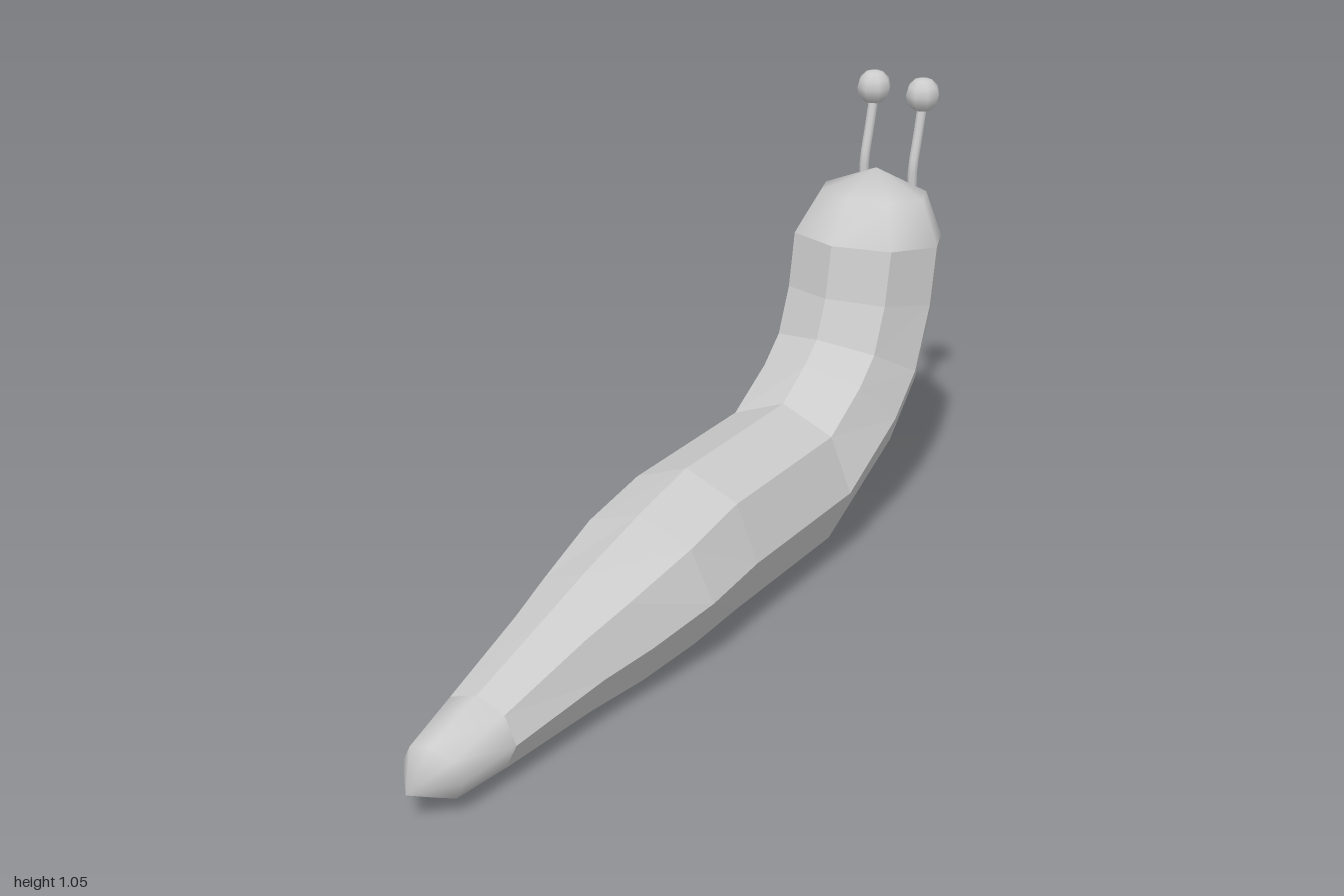
import * as THREE from 'three';
import { mergeVertices } from 'three/addons/utils/BufferGeometryUtils.js';

const SIDES = 8;

// Rings from tail to head: [top z, top y, bottom z, bottom y, half width]
const TAIL = [
  [1, 0.085, 1, 0.085, 0],
  [0.92, 0.152, 0.91, 0.03, 0.075],
  [0.77, 0.192, 0.77, 0.022, 0.095],
];
const BODY = [
  TAIL[2],
  [0.52, 0.262, 0.5, 0.014, 0.127],
  [0.4, 0.297, 0.33, 0.005, 0.152],
  [0.19, 0.348, 0.17, 0.015, 0.185],
  [0, 0.384, 0, 0.015, 0.185],
  [-0.42, 0.384, -0.42, 0.015, 0.185],
  [-0.52, 0.447, -0.75, 0.17, 0.185],
  [-0.573, 0.493, -0.885, 0.305, 0.185],
  [-0.61, 0.585, -0.975, 0.51, 0.185],
  [-0.633, 0.71, -1, 0.665, 0.185],
];
const HEAD = [
  BODY[BODY.length - 1],
  [-0.705, 0.806, -0.97, 0.775, 0.132],
  [-0.845, 0.847, -0.845, 0.847, 0],
];

// Skin between octagonal rings
function loft(rings, smooth) {
  const pos = [], index = [];
  for (const [tz, ty, bz, by, w] of rings) {
    for (let j = 0; j < SIDES; j++) {
      const a = (j / SIDES) * Math.PI * 2, c = Math.cos(a) / 2;
      pos.push(w * Math.sin(a), (ty + by) / 2 + (ty - by) * c, (tz + bz) / 2 + (tz - bz) * c);
    }
  }
  for (let i = 0; i < rings.length - 1; i++) {
    for (let j = 0; j < SIDES; j++) {
      const a = i * SIDES + j, b = i * SIDES + ((j + 1) % SIDES);
      const c = b + SIDES, d = a + SIDES;
      if (rings[i][4] > 0) index.push(a, b, rings[i + 1][4] > 0 ? c : d);
      if (rings[i + 1][4] > 0) index.push(a, c, d);
    }
  }
  let g = new THREE.BufferGeometry();
  g.setAttribute('position', new THREE.Float32BufferAttribute(pos, 3));
  g.setIndex(index);
  g = smooth ? mergeVertices(g) : g.toNonIndexed();
  g.computeVertexNormals();
  return g;
}

export function createModel() {
  const group = new THREE.Group();
  const smoothMat = new THREE.MeshStandardMaterial({ color: 0xcccccc });
  const flatMat = new THREE.MeshStandardMaterial({ color: 0xcccccc, flatShading: true });
  const add = (name, geometry, material = smoothMat) => {
    const mesh = new THREE.Mesh(geometry, material);
    mesh.name = name;
    group.add(mesh);
    return mesh;
  };

  // Faceted body with rounded ends
  add('tailTip', loft(TAIL, true));
  add('body', loft(BODY, false), flatMat);
  add('head', loft(HEAD, true));

  // Bent eye stalks, mirrored
  for (const [side, x] of [['left', 0.066], ['right', -0.066]]) {
    const path = new THREE.CatmullRomCurve3([
      new THREE.Vector3(x, 0.795, -0.908),
      new THREE.Vector3(x, 0.838, -0.908),
      new THREE.Vector3(x, 0.91, -0.927),
      new THREE.Vector3(x, 0.99, -0.947),
    ]);
    add(side + 'EyeStalk', new THREE.TubeGeometry(path, 6, 0.012, 8));
    add(side + 'Eye', new THREE.SphereGeometry(0.042, 8, 6)).position.set(x, 1.013, -0.945);
  }
  return group;
}
